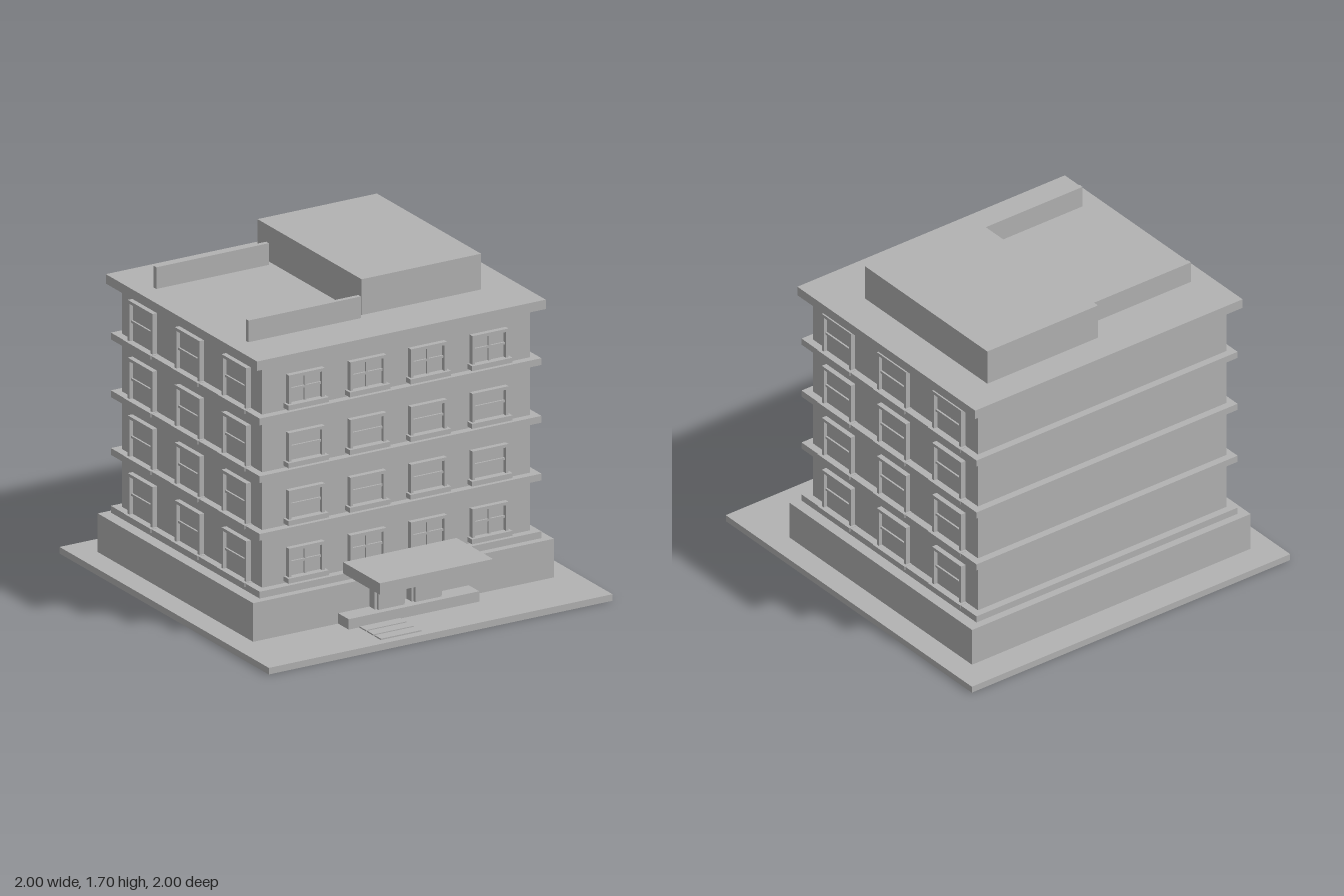
import * as THREE from 'three';

const stone = new THREE.MeshStandardMaterial({ color: 0xb2b2b2 });
stone.name = 'plain grey';

// Box given by its minimum and maximum on each axis
function box(parent, name, x0, x1, y0, y1, z0, z1) {
  const mesh = new THREE.Mesh(new THREE.BoxGeometry(x1 - x0, y1 - y0, z1 - z0), stone);
  mesh.position.set((x0 + x1) / 2, (y0 + y1) / 2, (z0 + z1) / 2);
  mesh.name = name;
  parent.add(mesh);
  return mesh;
}

// Window facing +z, with its top centre at the origin and the wall at z = 0
function makeWindow(name, width, height, sillHeight, crossed) {
  const g = new THREE.Group();
  g.name = name;
  const w = width / 2, t = 0.016;
  box(g, 'windowPane', -w + t, w - t, -height, -t, -0.01, 0.008);
  for (const s of [-1, 1]) {
    const c = s * (w - t / 2);
    box(g, 'windowJamb', c - t / 2, c + t / 2, -height, 0, -0.01, 0.028);
  }
  box(g, 'windowHead', -w + t, w - t, -t, 0, -0.01, 0.028);
  const mid = -height * 0.52;
  box(g, 'windowTransom', -w + t, w - t, mid - 0.006, mid + 0.006, 0, 0.018);
  if (crossed) box(g, 'windowMullion', -0.006, 0.006, -height, -t, 0, 0.017);
  box(g, 'windowSill', -w - 0.013, w + 0.013, -height - sillHeight, -height, -0.01, 0.045);
  return g;
}

export function createModel() {
  const model = new THREE.Group();
  model.name = 'apartmentBuilding';

  // Ground slab, plinth and main block
  box(model, 'groundSlab', -1, 1, 0, 0.035, -1, 1);
  box(model, 'plinth', -0.875, 0.875, 0.035, 0.24, -0.84, 0.645);
  box(model, 'mainBlock', -0.78, 0.78, 0.24, 1.46, -0.765, 0.575);

  // Floor bands and windows on each storey
  for (let floor = 0; floor < 4; floor++) {
    const y = 0.281 + floor * 0.3065;
    box(model, 'floorBand', -0.82, 0.82, y - 0.036, y, -0.805, 0.617);

    [-0.537, -0.179, 0.174, 0.532].forEach((x) => {
      const win = makeWindow('frontWindow', 0.21, 0.152, 0.026, floor === 0 || floor === 3);
      win.position.set(x, y + 0.189, 0.575);
      model.add(win);
    });

    for (const side of [-1, 1]) {
      for (const z of [0.35, -0.097, -0.546]) {
        const win = makeWindow('sideWindow', 0.235, 0.215, 0.02, false);
        win.position.set(side * 0.78, y + 0.217, z);
        win.rotation.y = side * Math.PI / 2;
        model.add(win);
      }
    }
  }

  // Roof slab, rooftop room and the two low walls
  box(model, 'roofSlab', -0.84, 0.84, 1.46, 1.51, -0.82, 0.625);
  box(model, 'rooftopRoom', -0.055, 0.64, 1.51, 1.7, -0.66, 0.335);
  for (const z of [-0.523, 0.357]) box(model, 'roofWall', -0.735, -0.08, 1.51, 1.625, z - 0.0125, z + 0.0125);

  // Entrance: porch, door leaves with frames, and canopy
  box(model, 'porch', -0.38, 0.38, 0.035, 0.09, 0.64, 0.745);
  for (const x of [-0.11, 0.105]) {
    box(model, 'doorFrame', x - 0.088, x + 0.088, 0.09, 0.28, 0.64, 0.695);
    box(model, 'doorLeaf', x - 0.076, x + 0.076, 0.09, 0.28, 0.69, 0.71);
  }
  box(model, 'canopy', -0.33, 0.33, 0.28, 0.34, 0.61, 0.96);

  // Shallow treads in front of the porch
  for (let i = 0; i < 3; i++) {
    const z = 0.752 + i * 0.071;
    box(model, 'tread', -0.32, -0.085, 0.035, 0.042, z, z + 0.06);
  }

  return model;
}
